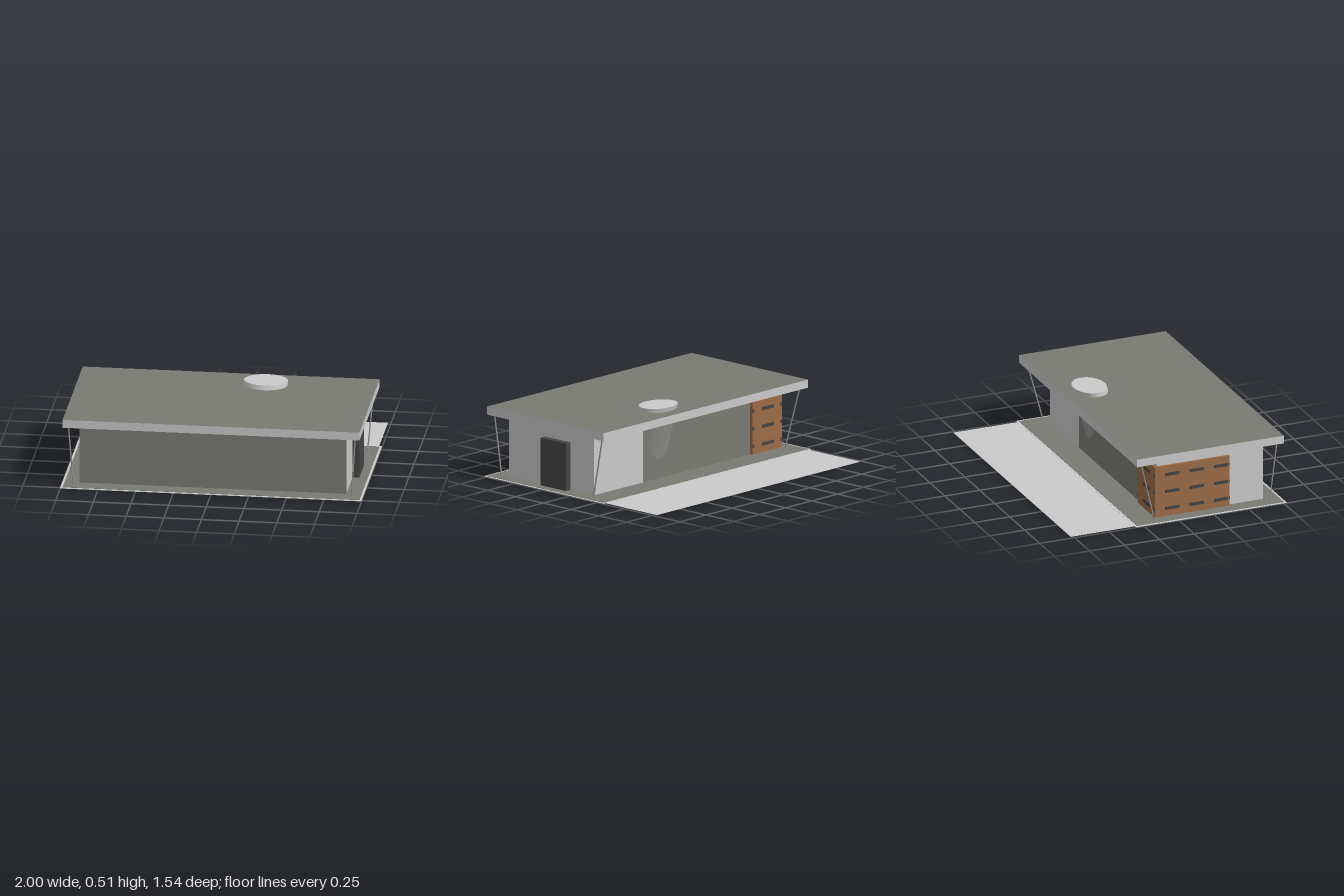
import * as THREE from 'three';

const mat = (name, color) => {
  const m = new THREE.MeshStandardMaterial({ color });
  m.name = name;
  return m;
};

export function createModel() {
  const light = mat('light concrete', 0xcacaca);
  const dark = mat('dark grey', 0x7a7a74);
  const mid = mat('mid grey', 0x969692);
  const charcoal = mat('charcoal', 0x454545);
  const wood = mat('wood', 0x9c6c46);
  const group = new THREE.Group();
  group.name = 'pavilion';

  // Box given by its min and max on each axis
  const box = (name, x0, x1, y0, y1, z0, z1, material, parent = group) => {
    const m = new THREE.Mesh(new THREE.BoxGeometry(x1 - x0, y1 - y0, z1 - z0), material);
    m.position.set((x0 + x1) / 2, (y0 + y1) / 2, (z0 + z1) / 2);
    m.name = name;
    parent.add(m);
    return m;
  };

  // Ground: light apron, slab with light rim, dark paving
  box('apron', -0.98, 0.98, 0, 0.002, -0.77, -0.3, light);
  box('slab', -1, 1, 0, 0.003, -0.31, 0.77, light);
  box('paving', -0.985, 0.985, 0.001, 0.005, -0.297, 0.755, dark);

  // Walls: light ends, dark front and back
  box('walls', -0.885, 0.885, 0, 0.43, -0.115, 0.65, [light, light, dark, light, dark, dark]);
  box('backWallPanel', 0.415, 0.885, 0, 0.43, -0.118, -0.114, light);

  // Roof: light slab with dark top
  box('roof', -0.985, 0.985, 0.42, 0.475, -0.295, 0.755, [light, light, dark, light, light, light]);

  // Door block on the left end
  box('door', 0.88, 0.93, 0, 0.327, 0.095, 0.325, charcoal);

  // Leaning struts at the four corners
  const up = new THREE.Vector3(0, 1, 0);
  for (const s of [-1, 1]) {
    for (const [zFoot, zHead] of [[0.68, 0.72], [-0.147, -0.255]]) {
      const a = new THREE.Vector3(s * 0.923, 0, zFoot);
      const b = new THREE.Vector3(s * 0.952, 0.43, zHead);
      const strut = new THREE.Mesh(new THREE.CylinderGeometry(0.005, 0.005, a.distanceTo(b), 8), mid);
      strut.position.copy(a).add(b).multiplyScalar(0.5);
      strut.quaternion.setFromUnitVectors(up, b.clone().sub(a).normalize());
      strut.name = 'strut';
      group.add(strut);
    }
  }

  // Slanted oval light shaft, passing through the roof
  const shaft = (name, y0, y1, materials) => {
    const g = new THREE.CylinderGeometry(1, 1, y1 - y0, 40);
    g.scale(0.145, 1, 0.112).translate(0, (y0 + y1) / 2, 0);
    const p = g.attributes.position;
    for (let i = 0; i < p.count; i++) p.setZ(i, p.getZ(i) - 0.107 + (0.505 - p.getY(i)) * 0.28);
    g.computeVertexNormals();
    const m = new THREE.Mesh(g, materials);
    m.position.x = 0.255;
    m.name = name;
    group.add(m);
  };
  shaft('shaftBody', 0.004, 0.45, mid);
  shaft('shaftTop', 0.45, 0.505, light);

  // Wooden corner cladding with rows of dark slots
  const cladding = new THREE.Group();
  cladding.name = 'woodCladding';
  group.add(cladding);
  box('claddingBack', -0.905, -0.62, 0, 0.36, -0.135, -0.11, wood, cladding);
  box('claddingSide', -0.905, -0.88, 0, 0.36, -0.135, 0.4, wood, cladding);
  for (const y of [0.06, 0.18, 0.3]) {
    const y0 = y - 0.011, y1 = y + 0.011;
    box('slot', -0.825, -0.715, y0, y1, -0.138, -0.134, charcoal, cladding);
    box('slot', -0.635, -0.62, y0, y1, -0.138, -0.134, charcoal, cladding);
    box('slot', -0.905, -0.892, y0, y1, -0.138, -0.134, charcoal, cladding);
    for (const z of [-0.01, 0.165, 0.34])
      box('slot', -0.908, -0.904, y0, y1, z - 0.05, z + 0.05, charcoal, cladding);
    box('slot', -0.903, -0.888, y0, y1, 0.399, 0.403, charcoal, cladding);
  }
  return group;
}
